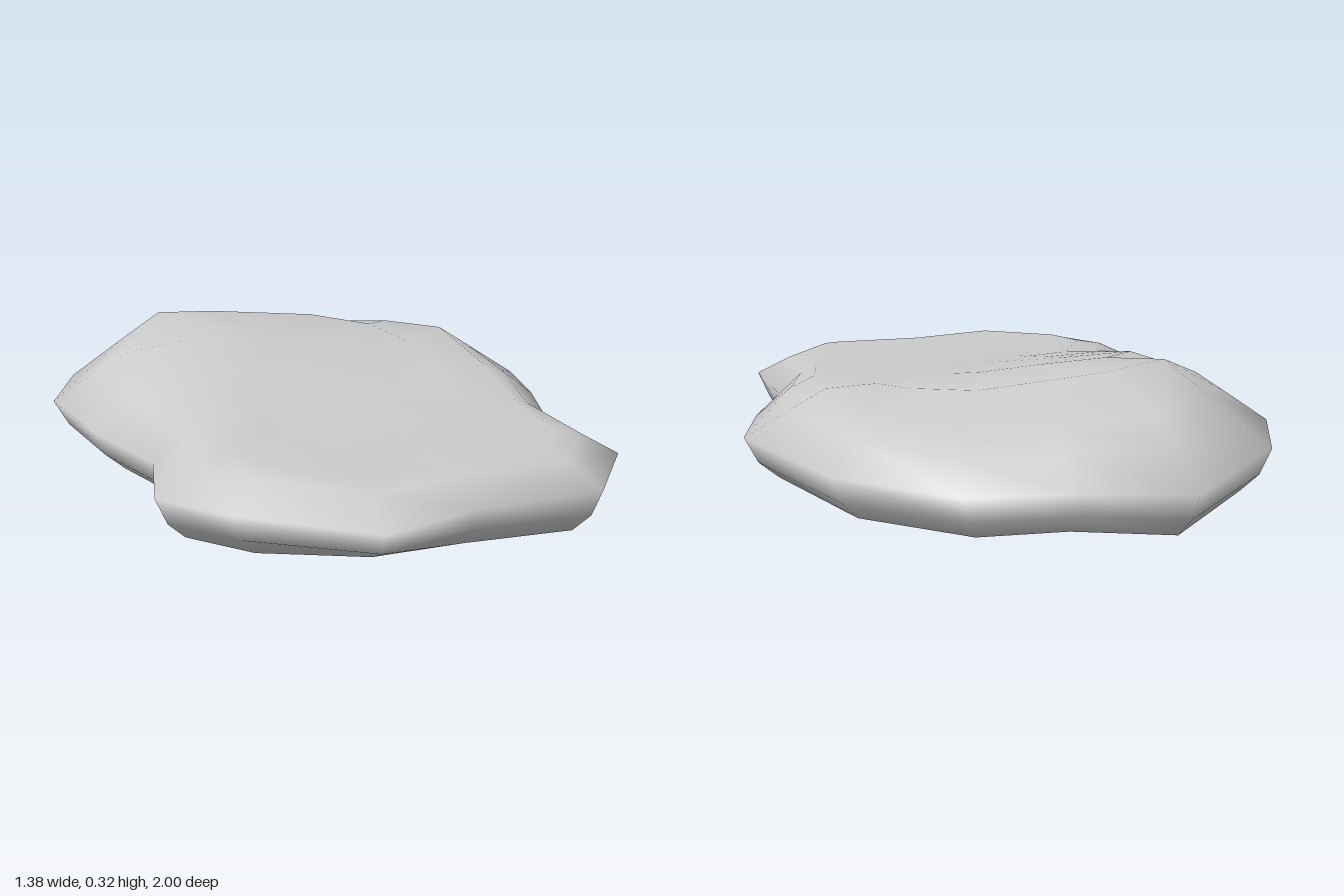
import * as THREE from 'three';

// Corners, clockwise from the back tip:
// rim x, rim z, shoulder x, shoulder z, shoulder y, foot x, foot z
const CORNERS = [
  [-0.24, -1.0, -0.23, -0.78, 0.235, -0.21, -0.95],
  [0.02, -0.91, 0.02, -0.77, 0.22, 0.02, -0.86],
  [0.28, -0.9, 0.22, -0.76, 0.2, 0.24, -0.85],
  [0.54, -0.66, 0.42, -0.57, 0.225, 0.47, -0.63],
  [0.69, -0.22, 0.49, -0.31, 0.25, 0.6, -0.21],
  [0.63, 0.03, 0.47, 0.03, 0.215, 0.52, 0.03],
  [0.53, 0.32, 0.42, 0.32, 0.185, 0.5, 0.32],
  [0.55, 0.65, 0.4, 0.58, 0.175, 0.48, 0.62],
  [0.36, 0.9, 0.28, 0.77, 0.175, 0.31, 0.85],
  [0.03, 0.9, 0.02, 0.78, 0.175, 0.03, 0.84],
  [-0.24, 1.0, -0.22, 0.83, 0.18, -0.21, 0.85],
  [-0.52, 0.77, -0.4, 0.66, 0.187, -0.45, 0.73],
  [-0.65, 0.6, -0.45, 0.54, 0.187, -0.57, 0.57],
  [-0.58, 0.32, -0.44, 0.32, 0.197, -0.5, 0.28],
  [-0.66, -0.02, -0.48, -0.02, 0.225, -0.57, -0.02],
  [-0.69, -0.36, -0.5, -0.32, 0.245, -0.59, -0.34],
  [-0.57, -0.66, -0.34, -0.5, 0.32, -0.5, -0.63],
];

// Height of the top: flat at the front, rising to the back and to the right side
const topHeight = (x, z) => 0.18 + THREE.MathUtils.clamp(0.42 - z, 0, 0.82) * (0.13 - x * 0.12);

function slabGeometry() {
  const foot = (s) => ([, , , , , x, z]) => [x * s, 0, z * s];
  const inner = (s) => ([, , x, z]) => [x * s, topHeight(x * s, z * s), z * s];
  // Cross-section rings from the centre of the underside to the centre of the top
  const rings = [
    foot(0),
    foot(0.9),
    foot(1),
    ([x, z, , , , fx, fz]) => [x * 0.6 + fx * 0.4, 0.045, z * 0.7 + fz * 0.3],
    ([x, z]) => [x, 0.1 + 0.02 * Math.abs(x), z],
    ([x, z, sx, sz, sy]) => [x * 0.4 + sx * 0.6, 0.046 + sy * 0.6 + (z > 0 ? 0.012 : 0), z * 0.4 + sz * 0.6],
    ([, , sx, sz, sy]) => [sx, sy, sz],
    inner(0.7),
    inner(0.35),
    inner(0),
  ];
  const n = CORNERS.length;
  const positions = rings.flatMap((ring) => CORNERS.flatMap((c) => ring(c)));
  const index = [];
  for (let r = 0; r < rings.length - 1; r++) {
    for (let i = 0; i < n; i++) {
      const a = r * n + i, b = r * n + ((i + 1) % n);
      if (r < rings.length - 2) index.push(a, a + n, b + n);
      else index.push(a, a + n, b);
      if (r > 0 && r < rings.length - 2) index.push(a, b + n, b);
    }
  }
  const geometry = new THREE.BufferGeometry();
  geometry.setAttribute('position', new THREE.Float32BufferAttribute(positions, 3));
  geometry.setIndex(index);
  geometry.computeVertexNormals();
  return geometry;
}

export function createModel() {
  const group = new THREE.Group();
  group.name = 'flatRock';
  const material = new THREE.MeshStandardMaterial({ color: 0xcccccc });
  const slab = new THREE.Mesh(slabGeometry(), material);
  slab.name = 'stoneSlab';
  group.add(slab);
  return group;
}
